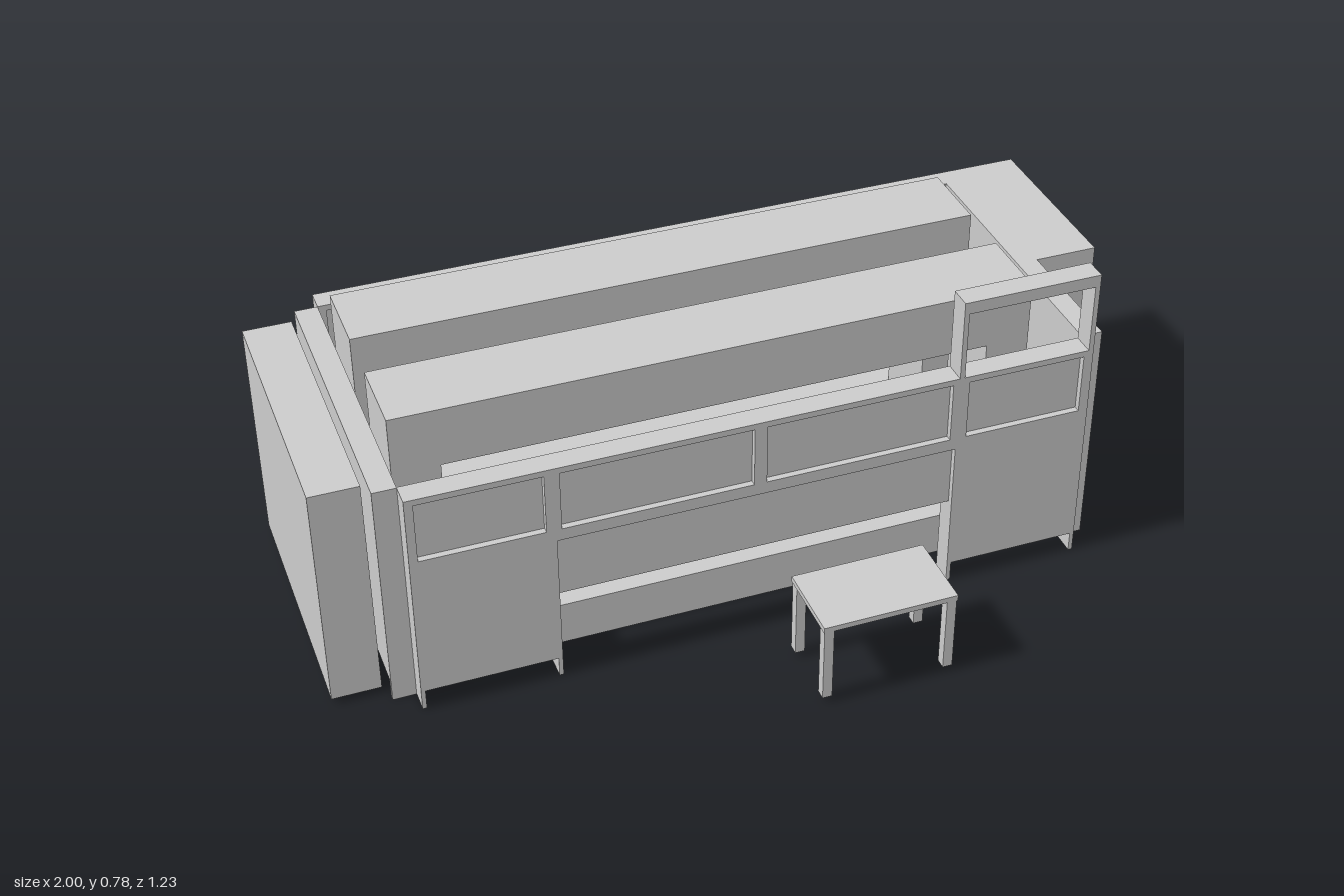
import * as THREE from 'three';

const material = new THREE.MeshStandardMaterial({ color: 0xcccccc, flatShading: true });

export function createModel() {
  const model = new THREE.Group();

  const add = (name, geometry, parent = model) => {
    const mesh = new THREE.Mesh(geometry, material);
    mesh.name = name;
    parent.add(mesh);
    return mesh;
  };

  // Box given by its limits on each axis
  const box = (name, [x0, x1], [y0, y1], [z0, z1], parent) => {
    const mesh = add(name, new THREE.BoxGeometry(x1 - x0, y1 - y0, z1 - z0), parent);
    mesh.position.set((x0 + x1) / 2, (y0 + y1) / 2, (z0 + z1) / 2);
    return mesh;
  };

  const group = (name) => {
    const g = new THREE.Group();
    g.name = name;
    model.add(g);
    return g;
  };

  const polygon = (points) => new THREE.Shape(points.map(([x, y]) => new THREE.Vector2(x, y)));
  const extrude = (shape, depth) => new THREE.ExtrudeGeometry(shape, { depth, bevelEnabled: false });

  // Long enclosure walls: central opening, thin feet, four windows and an apron
  const windows = [[-0.795, -0.51], [-0.475, -0.03], [0, 0.445], [0.485, 0.77]];
  const longWall = (name, z0, z1) => {
    const wall = group(name);
    const shape = polygon([
      [-0.815, 0], [-0.805, 0], [-0.805, 0.05], [-0.497, 0.05], [-0.497, 0], [-0.487, 0],
      [-0.487, 0.385], [0.46, 0.385], [0.46, 0], [0.47, 0], [0.47, 0.05],
      [0.783, 0.05], [0.783, 0], [0.793, 0], [0.793, 0.58], [-0.815, 0.58],
    ]);
    for (const [a, b] of windows) {
      shape.holes.push(polygon([[a, 0.415], [a, 0.565], [b, 0.565], [b, 0.415]]));
    }
    add('wallPanel', extrude(shape, z1 - z0), wall).position.z = z0;
    const middle = (z0 + z1) / 2;
    const pane = [middle - 0.012, middle + 0.012];
    for (const w of windows) box('windowPane', w, [0.415, 0.565], pane, wall);
    box('apron', [-0.487, 0.46], [0.225, 0.385], pane, wall);
  };
  longWall('frontWall', 0.265, 0.32);
  longWall('backWall', -0.525, -0.47);

  // End walls, each standing on a foot at both edges
  const endWall = (name, x, [z0, z1]) => {
    const wall = group(name);
    box('wallPanel', x, [0.05, 0.58], [z0, z1], wall);
    box('wallFoot', x, [0, 0.05], [z0, z0 + 0.012], wall);
    box('wallFoot', x, [0, 0.05], [z1 - 0.012, z1], wall);
  };
  endWall('rightEndWall', [-0.87, -0.815], [-0.47, 0.268]);
  endWall('leftEndWall', [0.793, 0.845], [-0.068, 0.262]);

  // Cabinets at both ends
  box('sideCabinet', [-1, -0.885], [0.015, 0.58], [-0.43, 0.235]);
  box('controlCabinet', [0.793, 1], [0.068, 0.58], [-0.525, -0.068]);

  // Operator screen and sloped keyboard shelf on the control cabinet
  box('screen', [0.82, 0.955], [0.28, 0.41], [-0.535, -0.525]);
  const shelf = extrude(polygon([[0.52, 0.24], [0.615, 0.236], [0.615, 0.242], [0.52, 0.262]]), 0.135);
  shelf.rotateY(Math.PI / 2);
  add('keyboardShelf', shelf).position.x = 0.82;

  // Machine base ring
  const ends = [[-0.805, -0.695], [0.6, 0.705]];
  const base = group('machineBase');
  for (const x of ends) box('baseEnd', x, [0, 0.11], [-0.4, 0.215], base);
  for (const z of [[-0.4, -0.16], [-0.02, 0.215]]) {
    box('baseRail', [-0.695, 0.6], [0, 0.11], z, base);
  }

  // Two gantries: overhead beam on a post at each end
  for (const z of [[-0.345, -0.155], [-0.02, 0.17]]) {
    const gantry = group('gantry');
    box('beam', [-0.805, 0.705], [0.54, 0.685], z, gantry);
    for (const x of ends) box('post', x, [0.11, 0.54], z, gantry);
  }

  // Raised frame on the front wall
  const arch = group('raisedFrame');
  const archZ = [0.265, 0.32];
  box('frameTop', [0.46, 0.793], [0.75, 0.78], archZ, arch);
  box('frameSide', [0.46, 0.472], [0.58, 0.75], archZ, arch);
  box('frameSide', [0.781, 0.793], [0.58, 0.75], archZ, arch);

  // Small table in front
  const table = group('table');
  box('tableTop', [0.02, 0.34], [0.206, 0.22], [0.425, 0.615], table);
  for (const x of [0.022, 0.315]) {
    for (const z of [0.427, 0.588]) {
      box('tableLeg', [x, x + 0.023], [0.015, 0.206], [z, z + 0.025], table);
    }
  }

  return model;
}
